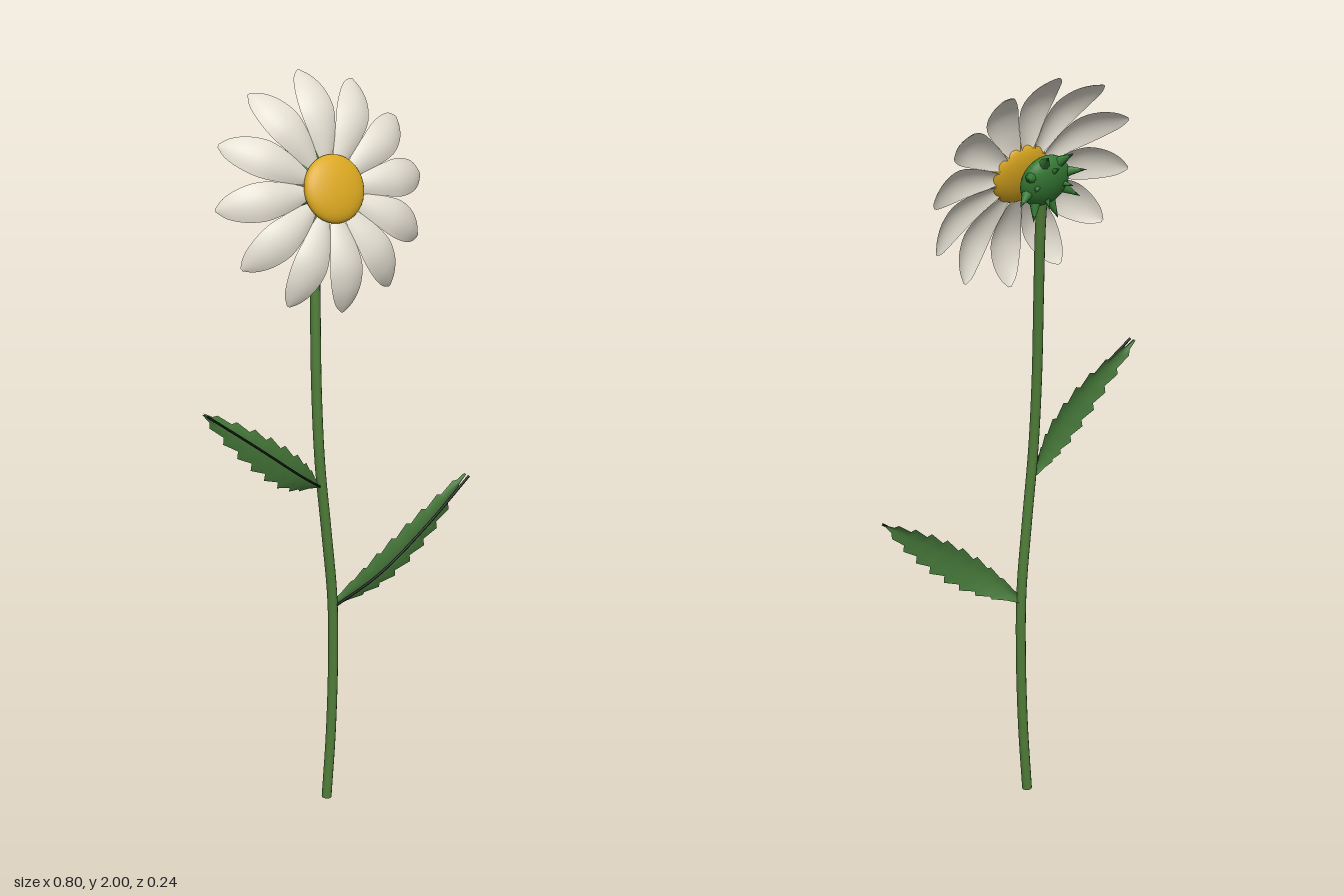
import * as THREE from 'three';

const V = (x, y, z) => new THREE.Vector3(x, y, z);
const mat = (name, color, side = THREE.FrontSide) => {
  const m = new THREE.MeshStandardMaterial({ color, side });
  m.name = name;
  return m;
};

// Smooth grid surface: f(row, column) gives a point
function surface(rows, cols, f) {
  const pos = [], idx = [];
  for (let i = 0; i <= rows; i++)
    for (let j = 0; j <= cols; j++) {
      pos.push(...f(i, j).toArray());
      if (i < rows && j < cols) {
        const a = i * (cols + 1) + j, b = a + cols + 1;
        idx.push(a, a + 1, b, a + 1, b + 1, b);
      }
    }
  const g = new THREE.BufferGeometry();
  g.setAttribute('position', new THREE.Float32BufferAttribute(pos, 3));
  g.setIndex(idx);
  g.computeVertexNormals();
  return g;
}

// Petal along +y, facing +z; profile points are (radius, depth, half width)
function petalGeometry() {
  const profile = new THREE.CatmullRomCurve3([
    V(0.06, -0.012, 0.011), V(0.1, -0.002, 0.027), V(0.15, 0.006, 0.04), V(0.2, 0.003, 0.048),
    V(0.25, -0.018, 0.041), V(0.285, -0.045, 0.024), V(0.303, -0.064, 0.004),
  ]);
  return surface(18, 8, (i, j) => {
    const p = profile.getPoint(i / 18), s = j / 4 - 1;
    return V(-s * p.z, p.x, p.y - 0.3 * p.z * s * s);
  });
}

// Serrated leaf blade following a spine, with lower and upper half widths
function leafGeometry(spine, up, teeth) {
  const rows = teeth * 2 + 1;
  const width = new THREE.CatmullRomCurve3([
    V(0, 0.15, 0), V(0.15, 0.72, 0), V(0.4, 1, 0), V(0.65, 0.95, 0), V(0.85, 0.62, 0), V(1, 0.06, 0),
  ]);
  return surface(rows, 6, (i, j) => {
    const t = i / rows, s = j / 3 - 1, out = i % 2 === 1 && i < rows;
    const w = width.getPoint(t).y * (out ? 1.08 : 0.8) * (s < 0 ? 0.055 : 0.04);
    const shift = out ? 0.035 * s * s : 0;
    const p = spine.getPoint(Math.min(1, t + shift));
    return p.addScaledVector(up, s * w).add(V(0, 0, -0.008 * s * s));
  });
}

export function createModel() {
  const model = new THREE.Group();
  model.name = 'daisy';
  const petalWhite = mat('petalWhite', 0xe2ddd0, THREE.DoubleSide);
  const discYellow = mat('discYellow', 0xdba820);
  const stemGreen = mat('stemGreen', 0x4f7c38);
  const leafGreen = mat('leafGreen', 0x447538, THREE.DoubleSide);
  const calyxGreen = mat('calyxGreen', 0x367a36);
  const ribDark = mat('ribDark', 0x0c140a);
  const add = (parent, name, geometry, material) => {
    const m = new THREE.Mesh(geometry, material);
    m.name = name;
    parent.add(m);
    return m;
  };

  // Stem with a closed foot
  const stemPath = new THREE.CatmullRomCurve3([
    V(-0.02, 0, 0.015), V(-0.006, 0.2, 0.015), V(0.001, 0.42, 0.015), V(-0.002, 0.6, 0.016),
    V(-0.022, 0.8, 0.018), V(-0.041, 1, 0.016), V(-0.043, 1.2, 0.004), V(-0.035, 1.42, -0.013),
    V(-0.025, 1.6, -0.032), V(-0.02, 1.71, -0.048),
  ]);
  add(model, 'stem', new THREE.TubeGeometry(stemPath, 60, 0.0135, 12), stemGreen);
  const foot = add(model, 'stemFoot', new THREE.CircleGeometry(0.0135, 12), stemGreen);
  foot.rotation.x = Math.PI / 2;
  foot.position.set(-0.02, 0.001, 0.015);

  // Leaves, each with a dark midrib lying in front of the blade
  const leaves = [
    ['leftLeaf', [V(-0.002, 0.575, 0.014), V(0.11, 0.662, 0.058), V(0.25, 0.77, 0.072), V(0.4, 0.88, 0.061)]],
    ['rightLeaf', [V(-0.04, 0.932, 0.014), V(-0.13, 1.0, 0.05), V(-0.26, 1.107, 0.063), V(-0.4, 1.22, 0.047)]],
  ];
  for (const [name, pts] of leaves) {
    const leaf = new THREE.Group();
    leaf.name = name;
    model.add(leaf);
    const spine = new THREE.CatmullRomCurve3(pts);
    const d = pts[3].clone().sub(pts[0]).setZ(0).normalize();
    const up = V(-d.y, d.x, 0).multiplyScalar(Math.sign(d.x));
    add(leaf, 'blade', leafGeometry(spine, up, 9), leafGreen);
    const rib = new THREE.CatmullRomCurve3(pts.map((p, i) => p.clone().add(V(0, 0, i ? 0.012 : 0.006))));
    add(leaf, 'midrib', new THREE.TubeGeometry(rib, 24, 0.0035, 6), ribDark);
  }

  // Flower head, tilted slightly upward
  const tilt = -0.335;
  const head = new THREE.Group();
  head.name = 'flowerHead';
  head.position.set(-0.02, 1.733, 0.05);
  head.rotation.x = tilt;
  model.add(head);
  add(head, 'disc', new THREE.SphereGeometry(0.085, 32, 20), discYellow).scale.z = 0.35;
  const petal = petalGeometry();
  for (let k = 0; k < 12; k++)
    add(head, 'petal', petal, petalWhite).rotation.z = (k * Math.PI) / 6;

  // Calyx bud behind the head, with pointed sepals
  const calyx = new THREE.Group();
  calyx.name = 'calyx';
  calyx.position.set(-0.02, 1.735, -0.056);
  calyx.rotation.x = tilt;
  model.add(calyx);
  add(calyx, 'bud', new THREE.SphereGeometry(0.07, 24, 16), calyxGreen).scale.z = 0.5;
  const sepal = new THREE.ConeGeometry(0.016, 0.055, 8);
  sepal.translate(0, 0.0275, 0);
  for (let k = 0; k < 8; k++) {
    const a = ((k + 0.5) * Math.PI) / 4;
    const dir = V(Math.sin(a), Math.cos(a), -0.7).normalize();
    const s = add(calyx, 'sepal', sepal, calyxGreen);
    s.position.set(Math.sin(a) * 0.056, Math.cos(a) * 0.056, -0.007);
    s.quaternion.setFromUnitVectors(V(0, 1, 0), dir);
  }
  // Small inner sepals on the back of the bud
  for (let k = 0; k < 4; k++) {
    const a = (k * Math.PI) / 2;
    const s = add(calyx, 'innerSepal', sepal, calyxGreen);
    s.scale.setScalar(0.5);
    s.position.set(Math.sin(a) * 0.04, Math.cos(a) * 0.04, -0.024);
    s.quaternion.setFromUnitVectors(V(0, 1, 0), V(Math.sin(a), Math.cos(a), -1).normalize());
  }
  return model;
}
